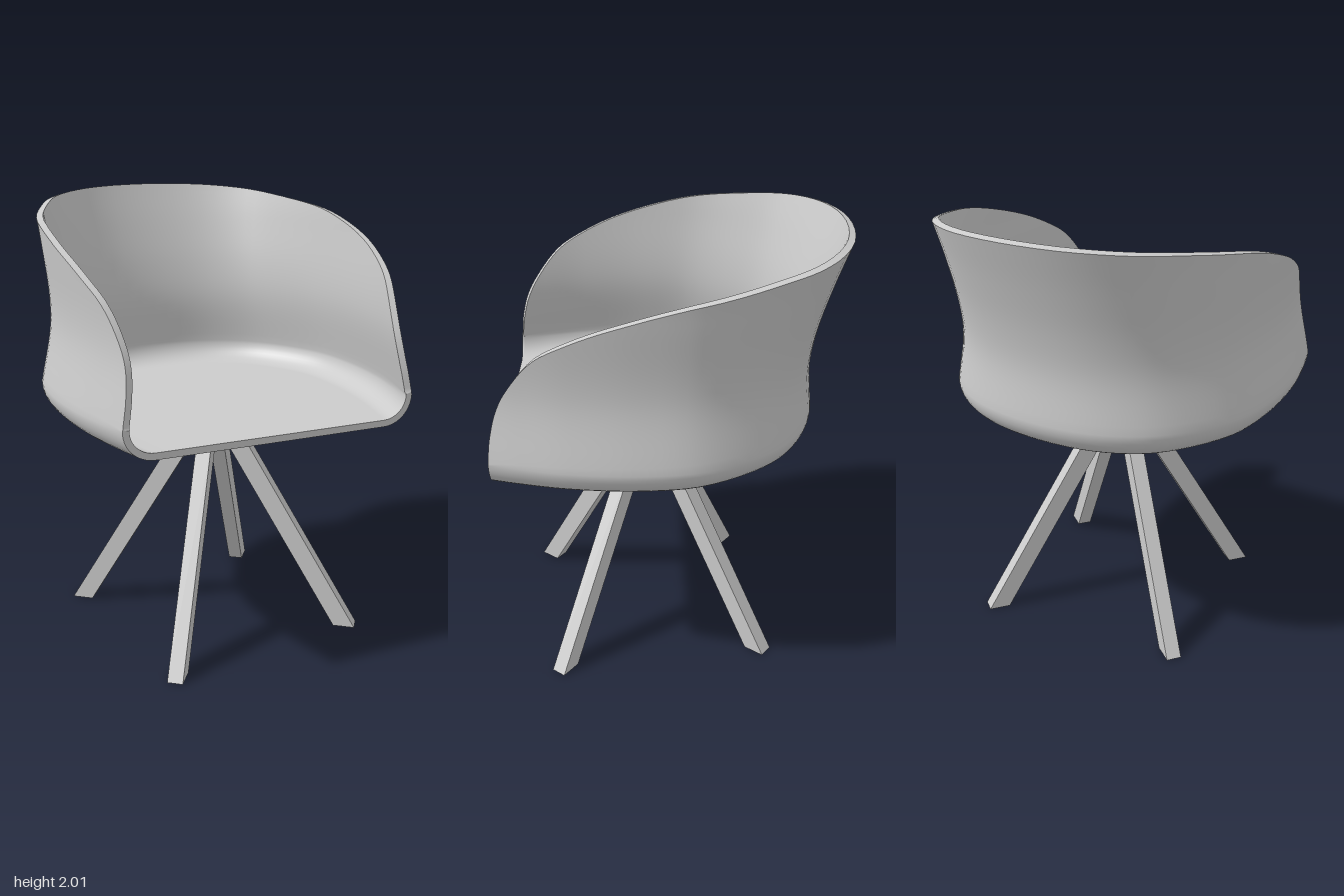
import * as THREE from 'three';

const material = new THREE.MeshStandardMaterial({ color: 0xcccccc, roughness: 0.7 });
const FLOOR = 1.07, BULGE = 1.2, THICK = 0.03, FRONT = 0.74;
const COLS = 96, FLOOR_STEPS = 8, ROUND_STEPS = 10, WALL_STEPS = 20;
const ROWS = FLOOR_STEPS + ROUND_STEPS + WALL_STEPS;

// Smooth curve y(x) through a few [x, y] points
function spline(p, x) {
  let k = 0;
  while (k < p.length - 2 && x > p[k + 1][0]) k++;
  const slope = (i) => {
    const a = p[Math.max(i - 1, 0)], b = p[Math.min(i + 1, p.length - 1)];
    return (b[1] - a[1]) / (b[0] - a[0]);
  };
  const w = p[k + 1][0] - p[k][0], t = THREE.MathUtils.clamp((x - p[k][0]) / w, 0, 1);
  const t2 = t * t, t3 = t2 * t;
  return (2 * t3 - 3 * t2 + 1) * p[k][1] + (t3 - 2 * t2 + t) * w * slope(k)
    + (3 * t2 - 2 * t3) * p[k + 1][1] + (t3 - t2) * w * slope(k + 1);
}

// Plan outline at the bulge, half of it, from the front corner to the back
const halfPlan = [[0.665, FRONT], [0.703, 0.6], [0.745, 0.4], [0.765, 0.12], [0.735, -0.14],
  [0.6, -0.4], [0.47, -0.53], [0.27, -0.625]];
const plan = new THREE.CatmullRomCurve3([
  ...halfPlan.map(([x, z]) => new THREE.Vector3(-x, 0, z)),
  new THREE.Vector3(0, 0, -0.66),
  ...halfPlan.slice().reverse().map(([x, z]) => new THREE.Vector3(x, 0, z)),
]);
// Rim height by depth, and how far the wall leans out by height
const rim = [[-0.66, 2], [-0.4, 1.955], [-0.05, 1.895], [0.25, 1.81], [0.45, 1.72], [0.55, 1.65],
  [0.65, 1.52], [0.7, 1.42], [0.73, 1.3], [FRONT, 1.21]];
const sideLean = [[1.2, 0], [1.5, -0.055], [1.85, -0.03], [2, -0.01]];
const backLean = [[1.2, 0], [1.42, -0.015], [1.6, 0.012], [1.8, 0.07], [2, 0.14]];

// One column of the outer skin, from the middle of the floor up to the rim
function column(i) {
  const u = 0.5 - 0.5 * Math.cos(Math.PI * i / COLS);
  const p = plan.getPoint(u), t = plan.getTangent(u);
  const nx = t.z, nz = Math.min(-t.x, 0);
  const out = (d, y) => new THREE.Vector3(p.x + nx * d, y, p.z + nz * d);
  const inset = 0.14, top = spline(rim, p.z), back = nz * nz;
  const floorEdge = out(-inset, FLOOR);
  const spine = new THREE.Vector3(0, FLOOR, floorEdge.z * 0.9 + FRONT * 0.1);
  const pts = [];
  for (let j = 0; j < FLOOR_STEPS; j++) pts.push(spine.clone().lerp(floorEdge, j / FLOOR_STEPS));
  for (let j = 0; j < ROUND_STEPS; j++) {
    const a = Math.PI / 2 * j / ROUND_STEPS;
    pts.push(out(-inset * (1 - Math.sin(a)), BULGE - (BULGE - FLOOR) * Math.cos(a)));
  }
  for (let j = 0; j <= WALL_STEPS; j++) {
    const y = BULGE + (top - BULGE) * j / WALL_STEPS;
    pts.push(out(THREE.MathUtils.lerp(spline(sideLean, y), spline(backLean, y), back), y));
  }
  return pts;
}

// Smooth skin over rows of points that all have the same length
function skin(rows, flip) {
  const n = rows[0].length, index = [];
  for (let i = 0; i < rows.length - 1; i++) {
    for (let j = 0; j < n - 1; j++) {
      const a = i * n + j, b = a + n, c = b + 1, d = a + 1;
      if (flip) index.push(a, c, b, a, d, c);
      else index.push(a, b, c, a, c, d);
    }
  }
  const g = new THREE.BufferGeometry().setFromPoints(rows.flat());
  g.setIndex(index);
  g.computeVertexNormals();
  return g;
}

function addMesh(parent, name, geometry) {
  const mesh = new THREE.Mesh(geometry, material);
  mesh.name = name;
  parent.add(mesh);
  return mesh;
}

function createShell() {
  const shell = new THREE.Group();
  shell.name = 'seatShell';
  const outer = Array.from({ length: COLS + 1 }, (_, i) => column(i));
  const outerSkin = skin(outer, true);

  // Inner skin: the outer one moved inward by the thickness
  const normals = outerSkin.attributes.normal;
  const inner = outer.map((col, i) => col.map((p, j) => {
    const n = new THREE.Vector3().fromBufferAttribute(normals, i * (ROWS + 1) + j);
    const q = p.clone().addScaledVector(n, -THICK);
    if (i === 0 || i === COLS) q.z = p.z;
    return q;
  }));

  // Edge band along the front of the seat, the arms and the backrest
  const path = [];
  for (let j = 0; j < ROWS; j++) path.push([0, j]);
  for (let i = 0; i <= COLS; i++) path.push([i, ROWS]);
  for (let j = ROWS - 1; j >= 0; j--) path.push([COLS, j]);
  const band = path.map(([i, j]) => [outer[i][j], inner[i][j]]);

  addMesh(shell, 'shellOutside', outerSkin);
  addMesh(shell, 'shellInside', skin(inner, false));
  addMesh(shell, 'shellEdge', skin(band, true));
  shell.position.x = 0.007;
  shell.rotation.y = -0.084;
  return shell;
}

// Bent leg: one rectangular section at the foot, the bend and the seat
function legGeometry() {
  const r = 0.05, w = 0.035;
  const levels = [[0.66, 0], [0.095, 0.945], [0.095, FLOOR + 0.01]];
  const corners = [[-r, -w], [-r, w], [r, w], [r, -w]];
  const pts = levels.flatMap(([d, y]) => corners.map(([a, b]) => new THREE.Vector3(d + a, y, b)));
  const index = [0, 2, 1, 0, 3, 2, 8, 9, 10, 8, 10, 11];
  for (let k = 0; k < 2; k++) {
    for (let c = 0; c < 4; c++) {
      const a = k * 4 + c, b = k * 4 + (c + 1) % 4;
      index.push(a, b, b + 4, a, b + 4, a + 4);
    }
  }
  const g = new THREE.BufferGeometry().setFromPoints(pts);
  g.setIndex(index);
  const flat = g.toNonIndexed();
  flat.computeVertexNormals();
  return flat;
}

export function createModel() {
  const model = new THREE.Group();
  model.name = 'tubChair';
  model.add(createShell());

  // Four splayed legs on the diagonals
  const legs = new THREE.Group();
  legs.name = 'legs';
  const geometry = legGeometry();
  ['frontLeftLeg', 'backLeftLeg', 'backRightLeg', 'frontRightLeg'].forEach((name, k) => {
    addMesh(legs, name, geometry).rotation.y = -Math.PI / 4 + k * Math.PI / 2 + 0.05;
  });
  legs.position.set(0.01, 0, 0.09);
  model.add(legs);
  return model;
}
